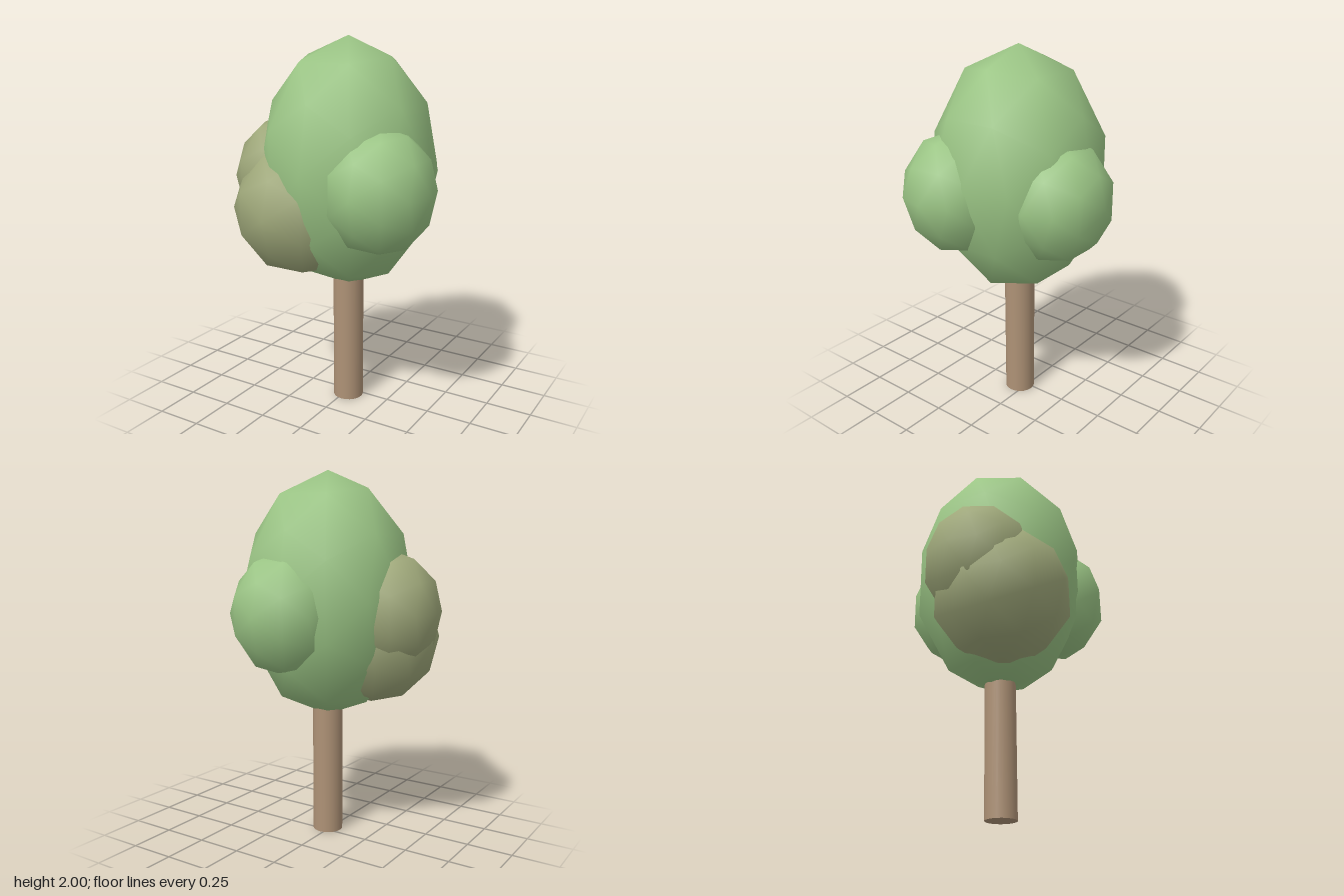
import * as THREE from 'three';

const material = (name, color) => {
  const m = new THREE.MeshStandardMaterial({ color });
  m.name = name;
  return m;
};

export function createModel() {
  const tree = new THREE.Group();
  tree.name = 'tree';

  const green = material('leaf green', 0x9bc585);
  const olive = material('olive leaf', 0x9fa87a);
  const bark = material('bark brown', 0xae9276);

  // Trunk, its top hidden inside the crown
  const trunk = new THREE.Mesh(new THREE.CylinderGeometry(0.083, 0.083, 0.9, 20), bark);
  trunk.name = 'trunk';
  trunk.position.set(0.02, 0.45, 0.04);
  tree.add(trunk);

  // Foliage: smooth-shaded, low-poly ellipsoids (centre, radii)
  const foliage = [
    ['crown', green, [0.02, 1.335, 0.04], [0.47, 0.665, 0.47]],
    ['leftLeafCluster', green, [0.3, 1.26, 0.22], [0.293, 0.33, 0.295]],
    ['backLeafCluster', green, [0.085, 1.26, -0.257], [0.293, 0.33, 0.293]],
    ['rightLeafCluster', olive, [-0.305, 1.26, 0.115], [0.293, 0.33, 0.293]],
    ['frontLeafCluster', olive, [-0.18, 1.11, 0.177], [0.37, 0.368, 0.37]],
  ];
  for (const [name, mat, centre, radii] of foliage) {
    const geometry = new THREE.IcosahedronGeometry(1, 1).scale(...radii);
    const mesh = new THREE.Mesh(geometry, mat);
    mesh.name = name;
    mesh.position.set(...centre);
    tree.add(mesh);
  }
  return tree;
}
